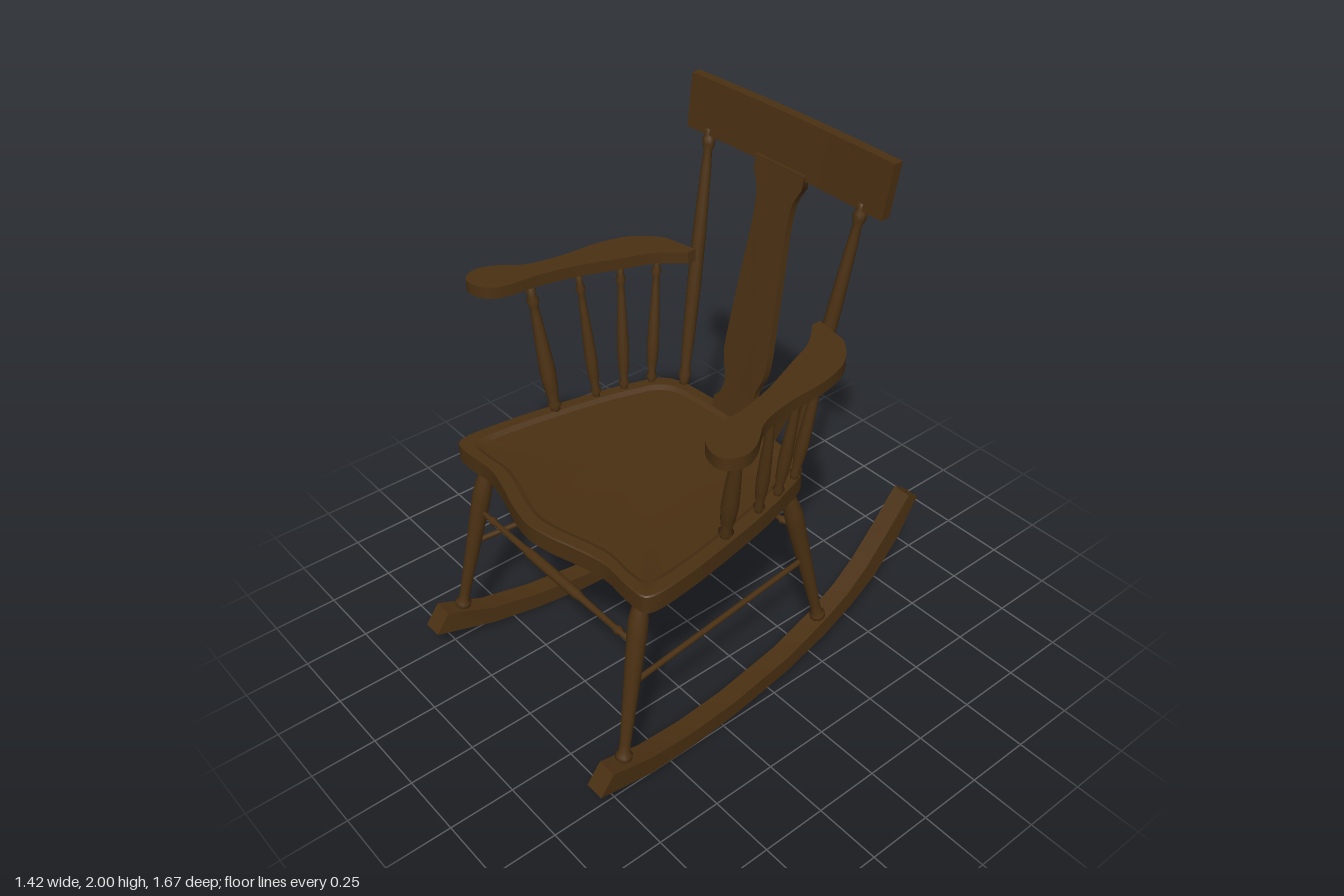
import * as THREE from 'three';
import { toCreasedNormals } from 'three/addons/utils/BufferGeometryUtils.js';

const V = (x, y, z) => new THREE.Vector3(x, y, z);

// Skin over a list of closed rings, capped at both ends
function loft(rings, crease = 0.5) {
  const n = rings[0].length, pos = [], index = [];
  const centre = r => r.reduce((a, p) => a.add(p), V(0, 0, 0)).divideScalar(n);
  for (const r of rings) for (const p of r) pos.push(p.x, p.y, p.z);
  const last = (rings.length - 1) * n, c0 = rings.length * n;
  for (const c of [centre(rings[0]), centre(rings[rings.length - 1])]) pos.push(c.x, c.y, c.z);
  for (let j = 0; j < n; j++) {
    const k = (j + 1) % n;
    for (let i = 0; i < last; i += n) index.push(i + j, i + k, i + n + k, i + j, i + n + k, i + n + j);
    index.push(k, j, c0, last + j, last + k, c0 + 1);
  }
  const g = new THREE.BufferGeometry();
  g.setAttribute('position', new THREE.Float32BufferAttribute(pos, 3));
  g.setIndex(index);
  return toCreasedNormals(g, crease);
}

// Move every vertex by a rule
function bend(g, rule) {
  const p = g.attributes.position, v = V(0, 0, 0);
  for (let i = 0; i < p.count; i++) {
    rule(v.fromBufferAttribute(p, i));
    p.setXYZ(i, v.x, v.y, v.z);
  }
  return toCreasedNormals(g, 0.6);
}

export function createModel() {
  const model = new THREE.Group();
  const wood = new THREE.MeshStandardMaterial({ color: 0x4a3012 });
  wood.name = 'dark wood';
  const add = (name, geometry) => {
    const m = new THREE.Mesh(geometry, wood);
    m.name = name;
    model.add(m);
    return m;
  };

  // Turned part between two points; profile is [radius, fraction of length]
  const turned = (name, a, b, profile, sides = 14) => {
    const len = a.distanceTo(b);
    const pts = [[0, 0], ...profile, [0, 1]].map(([r, t]) => new THREE.Vector2(r, t * len));
    const m = add(name, new THREE.LatheGeometry(pts, sides));
    m.position.copy(a);
    m.quaternion.setFromUnitVectors(V(0, 1, 0), b.clone().sub(a).normalize());
  };

  const legProfile = [[0.017, 0], [0.018, 0.05], [0.03, 0.07], [0.03, 0.09], [0.02, 0.11], [0.02, 0.16],
    [0.025, 0.35], [0.03, 0.55], [0.035, 0.75], [0.034, 0.83], [0.024, 0.91], [0.022, 0.93], [0.026, 0.95], [0.022, 1]];
  const spindleProfile = [[0.013, 0], [0.014, 0.05], [0.021, 0.08], [0.014, 0.11], [0.02, 0.2], [0.023, 0.32],
    [0.02, 0.5], [0.014, 0.76], [0.012, 0.83], [0.019, 0.87], [0.012, 0.91], [0.015, 1]];
  const postProfile = [[0.016, 0], [0.018, 0.03], [0.024, 0.06], [0.018, 0.09], [0.023, 0.2], [0.026, 0.4],
    [0.025, 0.6], [0.019, 0.85], [0.015, 0.92], [0.023, 0.945], [0.023, 0.965], [0.016, 0.98], [0.018, 1]];
  const barProfile = [[0.009, 0], [0.01, 0.08], [0.017, 0.1], [0.01, 0.12], [0.013, 0.32], [0.018, 0.35],
    [0.019, 0.5], [0.018, 0.65], [0.013, 0.68], [0.01, 0.88], [0.017, 0.9], [0.01, 0.92], [0.009, 1]];

  // Seat: wavy front, narrowing to the back, with a dished top
  const half = [[0.1, 0.68], [0.22, 0.645], [0.33, 0.622], [0.45, 0.63], [0.53, 0.622], [0.545, 0.59],
    [0.537, 0.45], [0.515, 0.3], [0.465, 0.04], [0.425, -0.1], [0.39, -0.19], [0.33, -0.235], [0.2, -0.253]];
  const loop = [[0, 0.695], ...half, [0, -0.26], ...half.map(([x, z]) => [-x, z]).reverse()];
  const outline = new THREE.CatmullRomCurve3(loop.map(([x, z]) => V(x, 0, z)), true).getPoints(112).slice(0, -1);
  const seatRing = (s, y) => outline.map(p => V(p.x * s, y, 0.2 + (p.z - 0.2) * s));
  add('seat', loft([seatRing(1, 0.8), seatRing(1, 0.866), seatRing(0.992, 0.87), seatRing(0.91, 0.87),
    seatRing(0.87, 0.86), seatRing(0.5, 0.855)], 0.4));

  // Rocker side profile: z, bottom y, then top z, top y
  const rocker = [[0.837, 0.1, 0.78, 0.175], [0.6, 0.035, 0.6, 0.11], [0.4, 0.01, 0.4, 0.077], [0.19, 0, 0.19, 0.066],
    [-0.1, 0.015, -0.1, 0.083], [-0.32, 0.057, -0.3, 0.127], [-0.47, 0.108, -0.445, 0.18],
    [-0.6, 0.175, -0.55, 0.245], [-0.73, 0.29, -0.665, 0.345], [-0.835, 0.435, -0.785, 0.465]];
  const rockerX = z => 0.432 + 0.0935 * z;

  // Armrest outline: x, z
  const arm = [[0.32, -0.31], [0.4, -0.295], [0.47, -0.275], [0.55, -0.19], [0.587, -0.067], [0.597, 0.09],
    [0.627, 0.22], [0.69, 0.31], [0.712, 0.375], [0.69, 0.43], [0.645, 0.446], [0.58, 0.42], [0.547, 0.355],
    [0.533, 0.22], [0.5, 0.09], [0.44, -0.067], [0.395, -0.18], [0.32, -0.275]];
  // Arm spindles: bottom x, bottom z, top x, top z, thickness
  const spindles = [[0.47, 0.235, 0.56, 0.255, 1.3], [0.445, 0.065, 0.515, 0.075, 1],
    [0.42, -0.045, 0.475, -0.085, 1], [0.39, -0.15, 0.435, -0.225, 1]];

  for (const s of [1, -1]) {
    const side = s > 0 ? 'left' : 'right';
    add(side + 'Rocker', loft(rocker.map(([zb, yb, zt, yt]) => {
      const x = s * rockerX((zb + zt) / 2), w = 0.038;
      return [V(x - w, yt, zt), V(x + w, yt, zt), V(x + w, yb, zb), V(x - w, yb, zb)];
    }), 0.35));

    turned(side + 'FrontLeg', V(s * 0.5, 0.11, 0.71), V(s * 0.44, 0.82, 0.56), legProfile);
    turned(side + 'BackLeg', V(s * 0.412, 0.09, -0.315), V(s * 0.36, 0.82, -0.15), legProfile);
    turned(side + 'Stretcher', V(s * 0.471, 0.45, 0.635), V(s * 0.386, 0.45, -0.23), [[0.011, 0], [0.011, 1]], 10);
    turned(side + 'BackPost', V(s * 0.3, 0.85, -0.235), V(s * 0.372, 1.83, -0.42), postProfile);

    const shape = new THREE.Shape();
    shape.moveTo(s * arm[0][0], -arm[0][1]);
    shape.splineThru(arm.slice(1).map(([x, z]) => new THREE.Vector2(s * x, -z)));
    const armGeometry = new THREE.ExtrudeGeometry(shape, { depth: 0.045, bevelEnabled: false, curveSegments: 60 });
    armGeometry.rotateX(-Math.PI / 2).translate(0, 1.364, 0);
    add(side + 'Armrest', toCreasedNormals(armGeometry, 0.6));

    for (const [bx, bz, tx, tz, k] of spindles)
      turned(side + 'ArmSpindle', V(s * bx, 0.85, bz), V(s * tx, 1.375, tz), spindleProfile.map(([r, t]) => [r * k, t]));
  }

  // Cross stretchers between the legs
  turned('frontStretcher', V(-0.459, 0.597, 0.607), V(0.459, 0.597, 0.607), barProfile);
  turned('backStretcher', V(-0.376, 0.597, -0.2), V(0.376, 0.597, -0.2), barProfile);

  // Vase-shaped back splat, leaning backwards: half width, height
  const splat = [[0.078, 0.98], [0.082, 1.02], [0.104, 1.08], [0.109, 1.14], [0.104, 1.25], [0.092, 1.45],
    [0.082, 1.6], [0.084, 1.7], [0.1, 1.75], [0.117, 1.78]];
  const splatShape = new THREE.Shape();
  const lower = [[0.12, 0.85], [0.118, 0.915], [0.095, 0.935]];
  splatShape.moveTo(-0.12, 0.85);
  lower.forEach(([x, y]) => splatShape.lineTo(x, y));
  splatShape.splineThru(splat.map(([x, y]) => new THREE.Vector2(x, y)));
  splatShape.lineTo(0.117, 1.83);
  splatShape.lineTo(-0.117, 1.83);
  splatShape.lineTo(-0.117, 1.78);
  splatShape.splineThru(splat.slice(0, -1).reverse().map(([x, y]) => new THREE.Vector2(-x, y)));
  lower.slice(1).reverse().forEach(([x, y]) => splatShape.lineTo(-x, y));
  const splatGeometry = new THREE.ExtrudeGeometry(splatShape, { depth: 0.028, bevelEnabled: false, curveSegments: 30 });
  add('backSplat', bend(splatGeometry, v => { v.z += -0.25 - 0.19 * (v.y - 0.87); }));

  // Crest rail: wider at the top, gently curved and leaning back
  const crest = new THREE.BoxGeometry(0.96, 0.19, 0.036, 16, 1, 1).translate(0, 1.905, 0);
  add('crestRail', bend(crest, v => {
    v.x *= 1 - 0.1 * (2 - v.y);
    v.z += -0.447 + 0.16 * (2 - v.y) - 0.012 * (1 - (v.x / 0.48) ** 2);
  }));

  return model;
}
